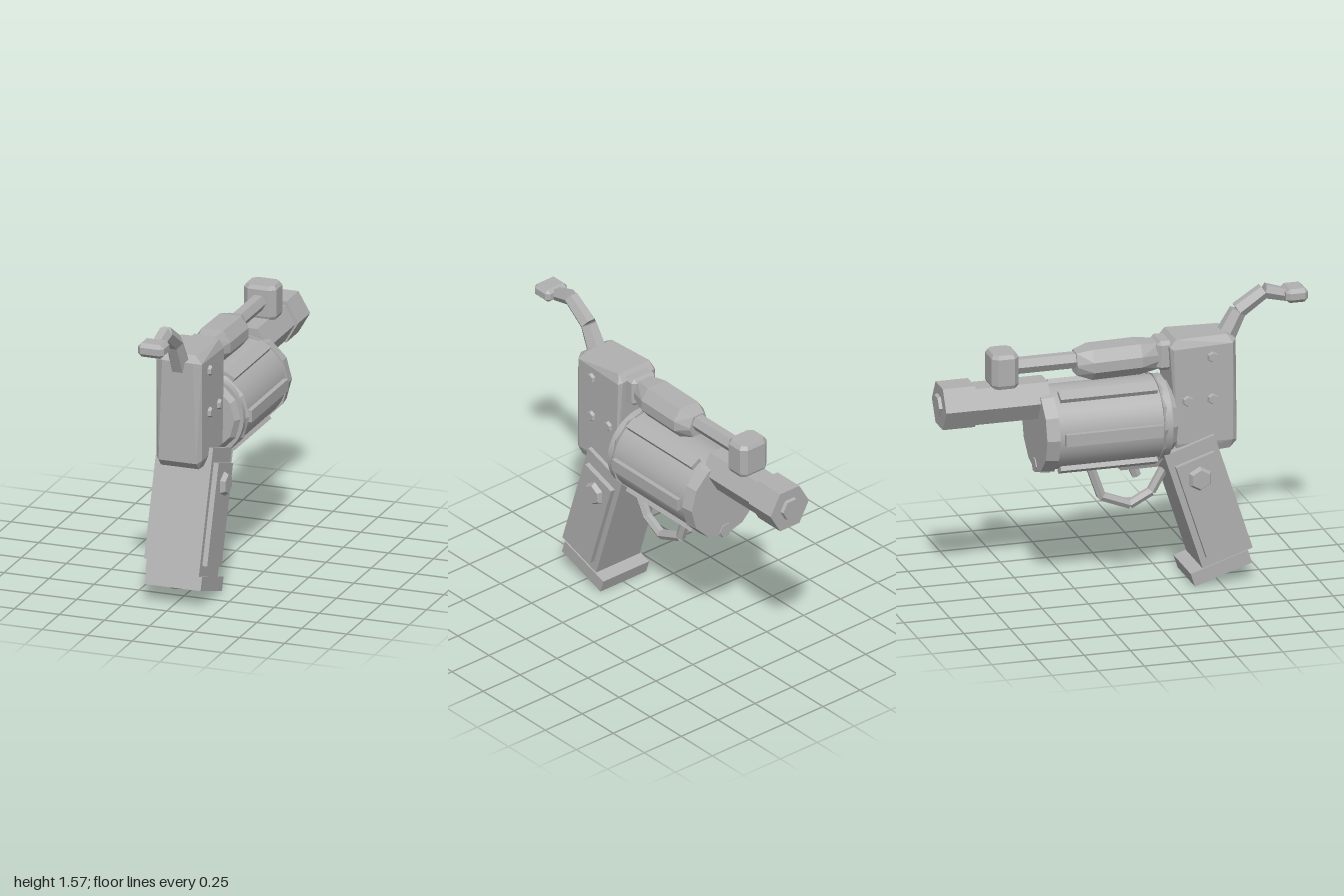
import * as THREE from 'three';
import { ConvexGeometry } from 'three/addons/geometries/ConvexGeometry.js';

const V = (x, y, z) => new THREE.Vector3(x, y, z);

export function createModel() {
  const model = new THREE.Group();
  const metal = new THREE.MeshStandardMaterial({ color: 0xb0b0b0 });
  metal.name = 'grey metal';

  const add = (name, geo, x = 0, y = 0, z = 0, rx = 0, parent = model) => {
    const mesh = new THREE.Mesh(geo, metal);
    mesh.name = name;
    mesh.position.set(x, y, z);
    mesh.rotation.x = rx;
    parent.add(mesh);
    return mesh;
  };

  const flat = (geo) => {
    const g = geo.index ? geo.toNonIndexed() : geo;
    g.computeVertexNormals();
    return g;
  };

  // faceted prism along z; r0 is the radius at +z, r1 at -z, a vertex on the x axis
  const prismZ = (r0, r1, len, sides, turn = Math.PI / 2) =>
    flat(new THREE.CylinderGeometry(r0, r1, len, sides, 1, false, turn).rotateX(Math.PI / 2));

  // box with all edges chamfered
  const chamferBox = (w, h, d, b) => {
    const pts = [];
    for (const sx of [-1, 1]) for (const sy of [-1, 1]) for (const sz of [-1, 1]) {
      const [x, y, z] = [sx * w / 2, sy * h / 2, sz * d / 2];
      pts.push(V(x, y - sy * b, z - sz * b), V(x - sx * b, y, z - sz * b), V(x - sx * b, y - sy * b, z));
    }
    return new ConvexGeometry(pts);
  };

  // hexagonal bar between two points in the middle plane, given as [z, y]
  const bar = (name, a, b, r, r2 = r, sides = 6, parent = model) => {
    const dz = b[0] - a[0], dy = b[1] - a[1];
    const geo = flat(new THREE.CylinderGeometry(r2, r, Math.hypot(dz, dy), sides, 1, false, Math.PI / sides));
    return add(name, geo, 0, (a[1] + b[1]) / 2, (a[0] + b[0]) / 2, Math.atan2(dz, dy), parent);
  };

  // mirrored bolt heads on both flanks
  const bolts = (name, r, x0, x1, y, z) => {
    for (const s of [-1, 1]) {
      const geo = new THREE.CylinderGeometry(r * 0.75, r, x1 - x0, 6, 1, false, Math.PI / 2);
      geo.rotateZ(-s * Math.PI / 2).rotateX(Math.PI / 2);
      add(name, flat(geo), s * (x0 + x1) / 2, y, z, Math.PI / 2);
    }
  };

  // rear frame: chamfered slab, narrower toward the back of its top
  const framePts = [];
  const side = [[0.57, 1.30], [0.57, 0.77], [0.27, 0.77], [0.25, 1.29]];
  const rim = [[0.55, 1.34], [0.597, 1.31], [0.597, 0.76], [0.56, 0.72], [0.27, 0.70], [0.235, 1.30], [0.27, 1.34]];
  for (const s of [-1, 1]) {
    for (const [z, y] of side) framePts.push(V(s * 0.125, y, z));
    for (const [z, y] of rim) framePts.push(V(s * (y > 1.3 && z > 0.5 ? 0.085 : 0.105), y, z));
  }
  add('frame', new ConvexGeometry(framePts));
  bolts('frameScrew', 0.032, 0.12, 0.142, 1.235, 0.46);
  bolts('frameScrew', 0.032, 0.12, 0.142, 1.005, 0.46);
  bolts('frameScrew', 0.032, 0.12, 0.142, 1.005, 0.325);

  // slanted grip with raised side panels and a base plate
  const grip = new THREE.Group();
  grip.name = 'grip';
  grip.position.set(0, 0.447, 0.432);
  grip.rotation.x = -0.313;
  model.add(grip);
  add('gripCore', new THREE.BoxGeometry(0.295, 0.673, 0.285), 0, 0, 0, 0, grip);
  for (const s of [-1, 1])
    add('gripPanel', new THREE.BoxGeometry(0.04, 0.54, 0.218), s * 0.155, -0.01, 0, 0, grip);
  add('basePlate', new THREE.BoxGeometry(0.31, 0.075, 0.325), 0, -0.373, -0.05, 0, grip);
  bolts('gripNut', 0.07, 0.17, 0.2, 0.59, 0.377);
  add('lanyardRing', flat(new THREE.TorusGeometry(0.045, 0.014, 5, 10)), 0, 0.088, 0.59, Math.PI / 2);

  // drum: smooth body, tapered rear collar, faceted front rim and six ribs
  const drum = new THREE.Group();
  drum.name = 'drum';
  drum.position.set(0, 0.895, 0);
  model.add(drum);
  add('drumBody', new THREE.CylinderGeometry(0.222, 0.222, 0.66, 40).rotateX(Math.PI / 2), 0, 0, -0.11, 0, drum);
  add('rearCollar', prismZ(0.185, 0.236, 0.085, 12), 0, 0, 0.213, 0, drum);
  add('frontRim', prismZ(0.236, 0.228, 0.07, 12), 0, 0, -0.43, 0, drum);
  for (let i = 0; i < 6; i++) {
    const a = i * Math.PI / 3;
    const rib = add('drumRib', new THREE.BoxGeometry(0.05, 0.065, 0.525), 0.22 * Math.cos(a), 0.22 * Math.sin(a), -0.105, 0, drum);
    rib.rotation.z = a;
  }
  add('rimNub', prismZ(0.05, 0.04, 0.08, 6), 0, -0.2, -0.43, 0, drum);

  // barrel and muzzle
  add('barrel', prismZ(0.114, 0.114, 0.42, 6), 0, 1.065, -0.62);
  add('muzzle', prismZ(0.13, 0.13, 0.175, 6), 0, 1.072, -0.895);
  add('muzzlePlug', prismZ(0.068, 0.058, 0.03, 6), 0, 1.075, -0.985);

  // top housing built as a hull of octagonal sections [z, halfWidth, bottom, top]
  const pod = [];
  for (const [z, w, y0, y1] of [[0.2, 0.065, 1.17, 1.31], [0.09, 0.1, 1.155, 1.32], [-0.17, 0.1, 1.15, 1.315], [-0.25, 0.06, 1.175, 1.295]])
    for (const s of [-1, 1])
      pod.push(V(s * w, y0 + 0.05, z), V(s * w, y1 - 0.06, z), V(s * w * 0.6, y0, z), V(s * w * 0.6, y1, z));
  add('topHousing', new ConvexGeometry(pod));
  add('housingCollar', chamferBox(0.16, 0.16, 0.09, 0.02), 0, 1.245, 0.222);
  add('topRod', prismZ(0.045, 0.045, 0.38, 6), 0, 1.25, -0.41);
  const post = [];
  for (const [y, k] of [[1.155, 0.9], [1.175, 1], [1.32, 1], [1.34, 0.85]])
    for (const sx of [-1, 1]) for (const sz of [-1, 1])
      post.push(V(sx * 0.09 * k, y, -0.643 + sz * 0.045 * k), V(sx * 0.06 * k, y, -0.643 + sz * 0.073 * k));
  add('frontSight', new ConvexGeometry(post));

  // hammer: bent arm ending in a thumb block
  const arm = [[0.55, 1.27], [0.635, 1.43], [0.775, 1.525], [0.9, 1.49]];
  const radii = [0.058, 0.046, 0.042, 0.036];
  for (let i = 0; i < 3; i++) bar('hammerArm', arm[i], arm[i + 1], radii[i], radii[i + 1]);
  add('hammerTip', chamferBox(0.145, 0.075, 0.12, 0.02), 0, 1.497, 0.94);

  // trigger, its mount and the guard
  const mount = [];
  for (const s of [-1, 1])
    mount.push(V(s * 0.1, 0.72, 0.22), V(s * 0.1, 0.72, -0.1), V(s * 0.07, 0.64, 0.18), V(s * 0.07, 0.64, -0.02));
  add('triggerMount', new ConvexGeometry(mount));
  bar('trigger', [0.055, 0.66], [0.085, 0.58], 0.03, 0.026);
  const guard = [[0.23, 0.6], [0.165, 0.485], [0.05, 0.425], [-0.105, 0.485], [-0.17, 0.67]];
  for (let i = 0; i < 4; i++) bar('triggerGuard', guard[i], guard[i + 1], 0.026);

  return model;
}
